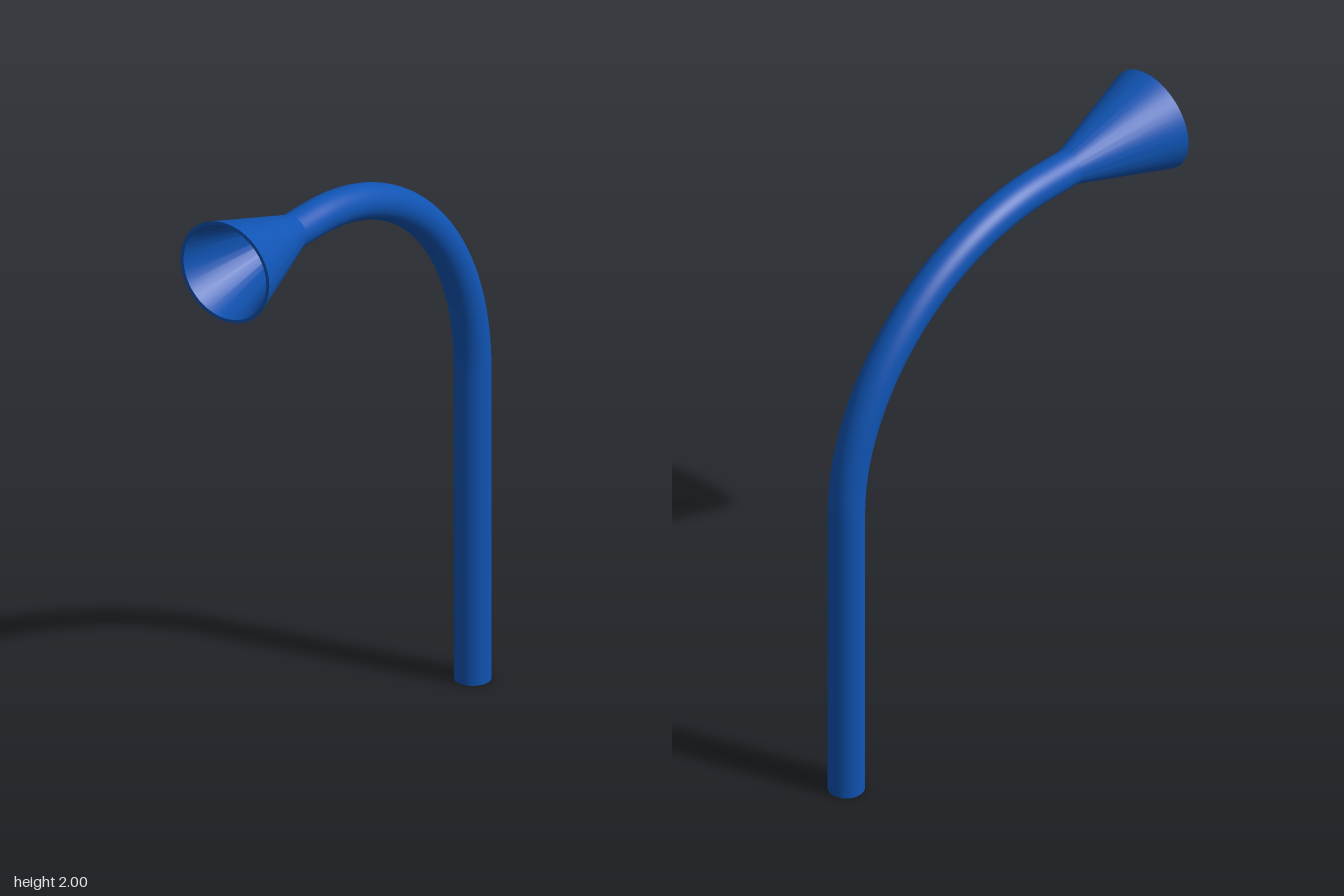
import * as THREE from 'three';
import { toCreasedNormals } from 'three/addons/utils/BufferGeometryUtils.js';

const PIPE = 0.056;   // pipe radius
const BEND = 0.81;    // bend radius
const AXIS_Y = 1.837; // height of the horizontal run
const NECK = 0.92;    // where the horn starts, measured from the post
const MOUTH = 1.257;  // where the horn ends
const SIDES = 40;

export function createModel() {
  const model = new THREE.Group();
  model.name = 'bentPipeWithHorn';
  const material = new THREE.MeshStandardMaterial({ color: 0x1054b4 });

  const add = (name, geometry) => {
    const mesh = new THREE.Mesh(geometry, material);
    mesh.name = name;
    model.add(mesh);
    return mesh;
  };

  // upright post, closed at the foot
  const postHeight = AXIS_Y - BEND;
  add('post', new THREE.CylinderGeometry(PIPE, PIPE, postHeight, SIDES))
    .position.y = postHeight / 2;

  // quarter-circle bend
  const bend = add('bend', new THREE.TorusGeometry(BEND, PIPE, SIDES, 32, Math.PI / 2));
  bend.position.set(BEND, postHeight, 0);
  bend.rotation.z = Math.PI / 2;

  // short straight neck
  const neck = add('neck', new THREE.CylinderGeometry(PIPE, PIPE, NECK - BEND, SIDES, 1, true));
  neck.position.set((NECK + BEND) / 2, AXIS_Y, 0);
  neck.rotation.z = -Math.PI / 2;

  // hollow flared horn: outer wall, rim, inner wall, floor
  const length = MOUTH - NECK;
  const profile = [
    [PIPE, 0], [0.163, length], [0.152, length], [PIPE - 0.011, 0.005], [0, 0.005],
  ].map(([r, h]) => new THREE.Vector2(r, h));
  const horn = add('horn', toCreasedNormals(new THREE.LatheGeometry(profile, 64), 0.6));
  horn.position.set(NECK, AXIS_Y, 0);
  horn.rotation.z = -Math.PI / 2;

  // swing the horn towards the front right
  model.rotation.y = Math.atan2(-0.469, -0.883);
  model.position.set(0.565, 0, -0.34);

  const root = new THREE.Group();
  root.name = 'model';
  root.add(model);
  return root;
}
